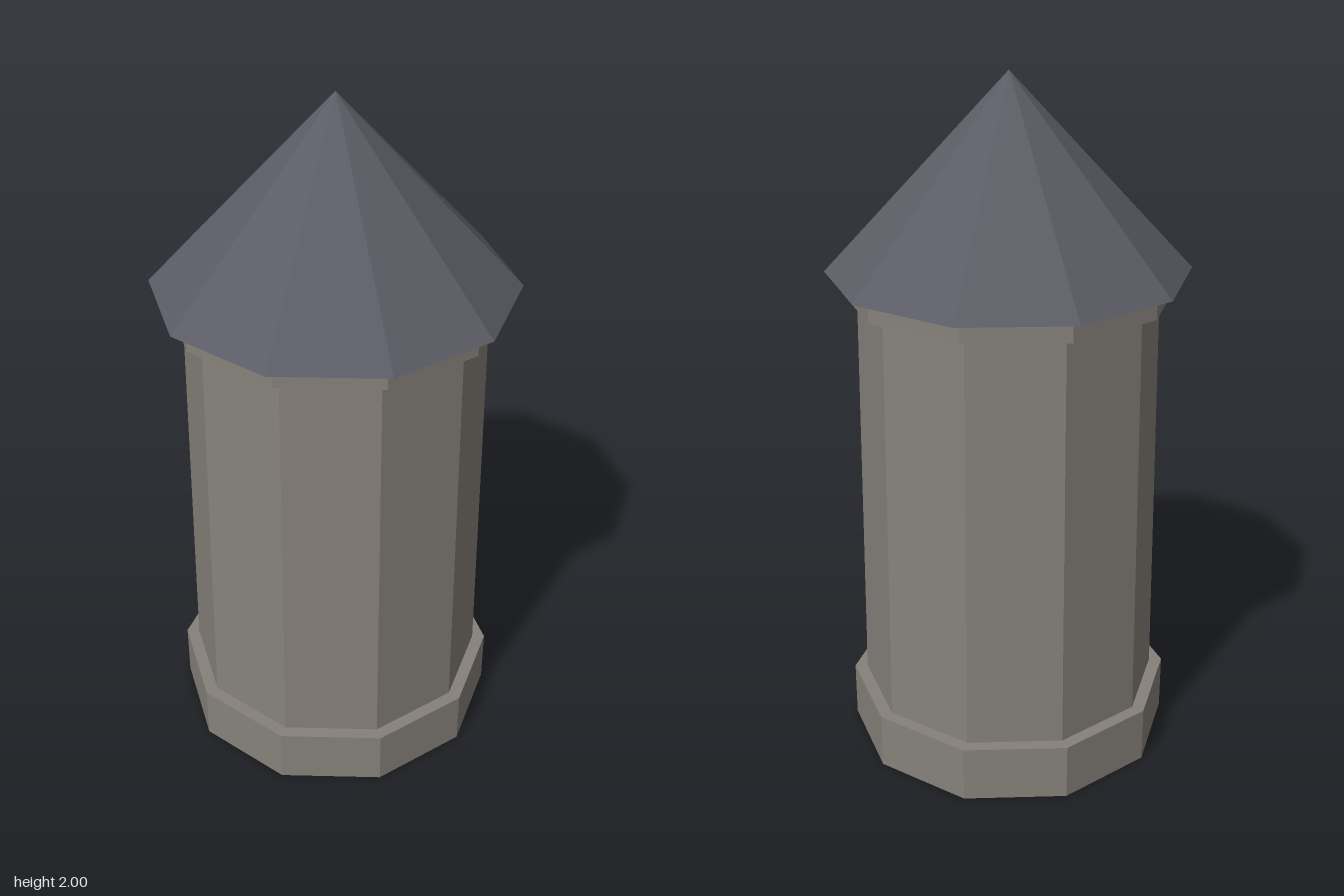
import * as THREE from 'three';

const SIDES = 10;

export function createModel() {
  const tower = new THREE.Group();
  tower.name = 'tower';

  const stone = new THREE.MeshStandardMaterial({ color: 0x86817a, flatShading: true });
  stone.name = 'stone';
  const slate = new THREE.MeshStandardMaterial({ color: 0x5c5c66, flatShading: true });
  slate.name = 'slate';

  // Ten-sided section between two heights, with a corner facing the front
  function section(name, material, bottomRadius, topRadius, y0, y1) {
    const geometry = topRadius > 0
      ? new THREE.CylinderGeometry(topRadius, bottomRadius, y1 - y0, SIDES)
      : new THREE.ConeGeometry(bottomRadius, y1 - y0, SIDES);
    const mesh = new THREE.Mesh(geometry, material);
    mesh.name = name;
    mesh.position.y = (y0 + y1) / 2;
    tower.add(mesh);
  }

  section('plinth', stone, 0.48, 0.48, 0, 0.167);
  section('shaft', stone, 0.442, 0.426, 0.16, 1.4);
  section('cornice', stone, 0.47, 0.47, 1.39, 1.452);
  section('roof', slate, 0.515, 0, 1.45, 2);

  return tower;
}
